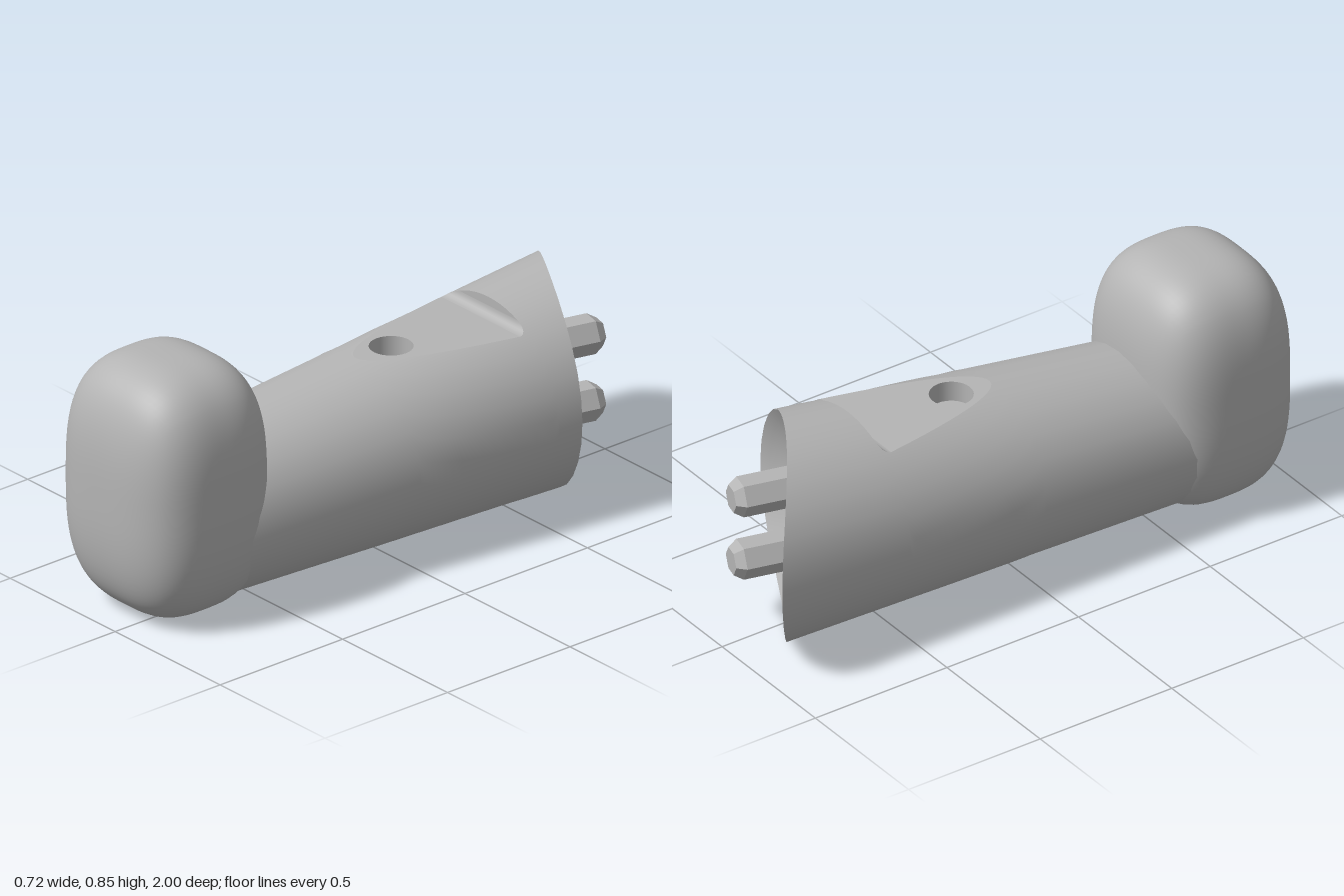
import * as THREE from 'three';
import { mergeVertices } from 'three/addons/utils/BufferGeometryUtils.js';

const grey = new THREE.MeshStandardMaterial({ color: 0xb4b4b4, side: THREE.DoubleSide });
grey.name = 'plain grey';

const SLOPE = 0.0583;      // growth of the arm radius towards the back
const FLAT_Y = 0.62;       // height of the flat on the arm
const FLAT_END = -0.485, STEP = -0.515, FILLET = 0.03;
const COLS = 24, TOP_COLS = 10;

const V = (x, y, z) => new THREE.Vector3(x, y, z);
const radius = (z) => 0.31 - SLOPE * z;

// Point on the tapered arm; its left and bottom lines stay straight
function armPoint(angle, z) {
  const r = radius(z);
  return V(-0.33 + r * (1 + Math.cos(angle)), r * (1 + Math.sin(angle)), z);
}
const armNormal = (t) =>
  V(Math.cos(t), Math.sin(t), SLOPE * (1 + Math.cos(t) + Math.sin(t))).normalize();

// Slanted, slightly curved end of the arm
const rimZ = (x) => -0.76 + 0.6 * x - 0.43 * x * x;
function rimPoint(angle) {
  let z = -0.76;
  for (let i = 0; i < 12; i++) z = rimZ(armPoint(angle, z).x);
  return armPoint(angle, z);
}

// Angle at which the flat cuts the round section
function cutAngle(z) {
  if (z >= 0) return Math.PI / 2;
  const zz = Math.max(z, STEP);
  const d = Math.max(0, FLAT_END - zz);
  const y = FLAT_Y + FILLET - Math.sqrt(Math.max(0, FILLET * FILLET - d * d));
  const r = radius(zz);
  return Math.asin(Math.min(1, (y - r) / r));
}

const range = (n, f) => Array.from({ length: n + 1 }, (_, i) => f(i / n));
const lowerAngles = (a) => range(COLS, (t) => Math.PI - a + t * (Math.PI + 2 * a));
const upperAngles = (a) => range(TOP_COLS, (t) => a + t * (Math.PI - 2 * a));

function mesh(name, geometry) {
  const m = new THREE.Mesh(geometry, grey);
  m.name = name;
  return m;
}

// Surface through rows of points
function loft(rows, normals) {
  const n = rows[0].length, index = [];
  for (let i = 0; i < rows.length - 1; i++) {
    for (let j = 0; j < n - 1; j++) {
      const a = i * n + j, b = a + 1, c = a + n, d = c + 1;
      index.push(a, c, b, b, c, d);
    }
  }
  const g = new THREE.BufferGeometry().setFromPoints(rows.flat());
  g.setIndex(index);
  if (normals) {
    g.setAttribute('normal', new THREE.Float32BufferAttribute(normals.flat().flatMap((v) => v.toArray()), 3));
  } else g.computeVertexNormals();
  return g;
}

// Straight chord across the arm at one station, from +x to -x
function chord(z) {
  const a = cutAngle(z);
  const p = armPoint(a, z), q = armPoint(Math.PI - a, z);
  return range(TOP_COLS, (t) => p.clone().lerp(q, t));
}

function createHead() {
  // Cube swelled into a soft rounded block
  const g = new THREE.BoxGeometry(2, 2, 2, 22, 22, 22);
  g.deleteAttribute('uv');
  g.deleteAttribute('normal');
  const pos = g.attributes.position, v = new THREE.Vector3();
  for (let i = 0; i < pos.count; i++) {
    v.fromBufferAttribute(pos, i);
    const k = Math.cbrt(Math.abs(v.x) ** 3 + Math.abs(v.y) ** 3 + Math.abs(v.z) ** 3);
    v.divideScalar(k);
    pos.setXYZ(i, v.x * 0.295, v.y * 0.425, v.z * 0.265);
  }
  const merged = mergeVertices(g);
  merged.computeVertexNormals();
  const head = mesh('roundedHead', merged);
  head.position.set(-0.065, 0.425, 0.735);
  return head;
}

function createArm() {
  const arm = new THREE.Group();
  arm.name = 'arm';

  // Round lower body, open where the flat is cut
  const flatZ = range(16, (t) => FLAT_END * t * t);
  const filletZ = range(6, (t) => FLAT_END - FILLET * Math.sin((t * Math.PI) / 2));
  const stations = [0.68, 0.45, 0.2, ...flatZ, ...filletZ.slice(1)];
  const rearCut = cutAngle(STEP);
  const angleRows = stations.map((z) => lowerAngles(cutAngle(z)));
  const rows = angleRows.map((as, i) => as.map((t) => armPoint(t, stations[i])));
  const rearLower = lowerAngles(rearCut), rearUpper = upperAngles(rearCut);
  angleRows.push(rearLower);
  rows.push(rearLower.map(rimPoint));
  arm.add(mesh('armBody', loft(rows, angleRows.map((as) => as.map(armNormal)))));

  // Raised collar behind the flat, its step and the fillet below it
  const collarFront = rearUpper.map((t) => armPoint(t, STEP));
  const upperNormals = rearUpper.map(armNormal);
  arm.add(mesh('collarTop', loft([collarFront, rearUpper.map(rimPoint)], [upperNormals, upperNormals])));
  arm.add(mesh('collarStep', loft([chord(STEP), collarFront])));
  arm.add(mesh('collarFillet', loft(filletZ.map(chord))));

  // Flat with a round hole
  const right = flatZ.map((z) => armPoint(cutAngle(z), z));
  const left = flatZ.slice(1).map((z) => armPoint(Math.PI - cutAngle(z), z)).reverse();
  const outline = new THREE.Shape([...right, ...left].map((p) => new THREE.Vector2(p.x, -p.z)));
  outline.holes.push(new THREE.Path().absarc(-0.015, 0.14, 0.07, 0, Math.PI * 2, true));
  const flat = mesh('topFlat', new THREE.ShapeGeometry(outline, 16).rotateX(-Math.PI / 2));
  flat.position.y = FLAT_Y;
  arm.add(flat);

  const holeWall = mesh('holeWall', new THREE.CylinderGeometry(0.07, 0.07, 0.07, 32, 1, true));
  holeWall.position.set(-0.015, FLAT_Y - 0.035, -0.14);
  const holeFloor = mesh('holeFloor', new THREE.CircleGeometry(0.07, 32).rotateX(-Math.PI / 2));
  holeFloor.position.set(-0.015, FLAT_Y - 0.07, -0.14);
  arm.add(holeWall, holeFloor);

  // Hollow dished end face
  const rim = [...rearLower, ...rearUpper.slice(1).map((t) => t + Math.PI * 2)].map(rimPoint);
  const dish = range(10, (t) => {
    const s = 1 - t;
    return rim.map((p) => {
      const x = 0.015 + (p.x - 0.015) * s;
      return V(x, 0.355 + (p.y - 0.355) * s, rimZ(x) + 0.12 * (1 - s * s));
    });
  });
  arm.add(mesh('dishedEnd', loft(dish)));
  return arm;
}

// Six-sided peg with a chamfered tip
function createPeg(y) {
  const profile = [[0.065, 0], [0.065, 0.305], [0.045, 0.335], [0, 0.335]]
    .map(([r, h]) => new THREE.Vector2(r, h));
  const g = new THREE.LatheGeometry(profile, 6).toNonIndexed();
  g.rotateY(Math.PI / 6).rotateX(-Math.PI / 2).rotateY(-0.245);
  g.computeVertexNormals();
  const peg = mesh('peg', g);
  peg.position.set(0.005, y, -0.58);
  return peg;
}

export function createModel() {
  const model = new THREE.Group();
  model.name = 'peggedArm';
  model.add(createHead(), createArm());
  for (const y of [0.465, 0.235]) model.add(createPeg(y));
  return model;
}
